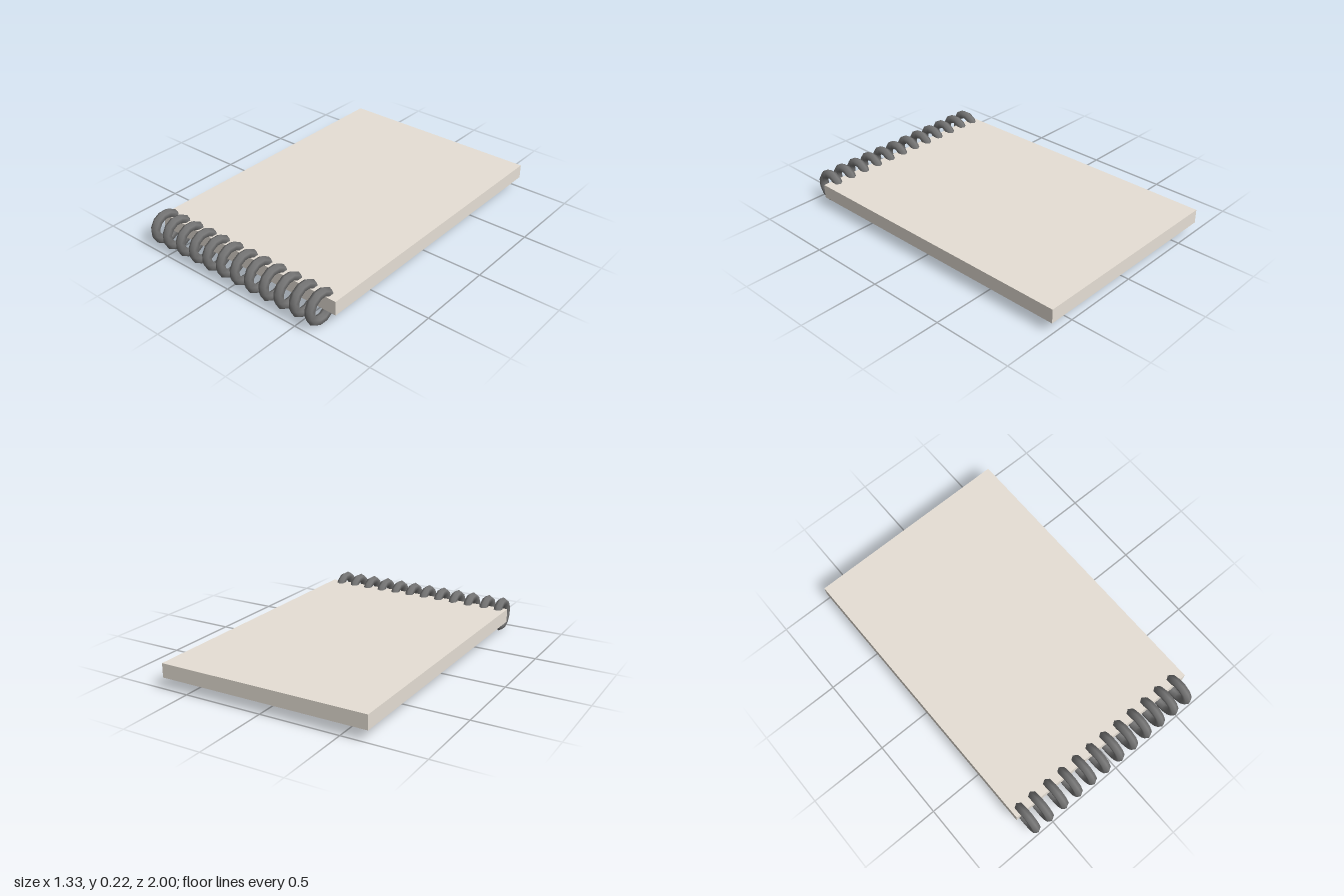
import * as THREE from 'three';

export function createModel() {
  const model = new THREE.Group();
  model.name = 'spiralNotepad';

  const paper = new THREE.MeshStandardMaterial({ color: 0xe6dfd5 });
  paper.name = 'paper';
  const card = new THREE.MeshStandardMaterial({ color: 0x977953 });
  card.name = 'backing card';
  const wire = new THREE.MeshStandardMaterial({ color: 0x757575 });
  wire.name = 'binding wire';

  // Page block, with the brown backing card as its underside
  const pages = new THREE.Mesh(
    new THREE.BoxGeometry(1.33, 0.088, 1.863),
    [paper, paper, paper, card, paper, paper]
  );
  pages.name = 'pages';
  pages.position.set(0, 0.114, -0.0685);
  model.add(pages);

  // Binding rings along the front edge: six-sided wire, twelve segments each
  const ringGeometry = new THREE.TorusGeometry(0.083, 0.0283, 6, 12);
  ringGeometry.rotateZ(Math.PI / 12);
  ringGeometry.rotateY(Math.PI / 2);

  const binding = new THREE.Group();
  binding.name = 'binding';
  for (let i = 0; i < 12; i++) {
    const ring = new THREE.Mesh(ringGeometry, wire);
    ring.name = `ring${i + 1}`;
    // The first two rings sit a little closer together
    const x = i < 2 ? -0.614 + i * 0.102 : -0.399 + (i - 2) * 0.1094;
    ring.position.set(x, 0.1075, 0.8925);
    binding.add(ring);
  }
  model.add(binding);

  return model;
}
